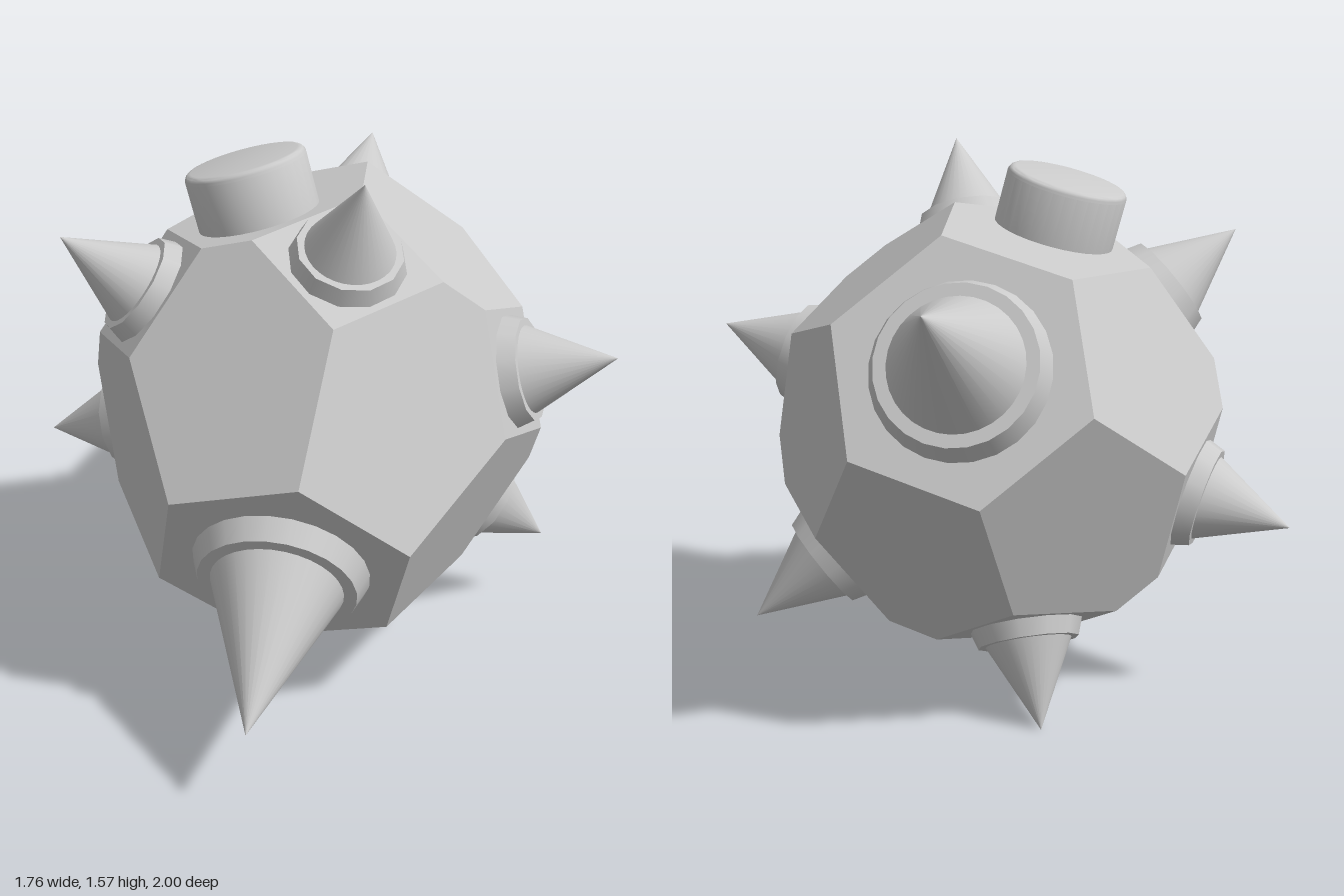
import * as THREE from 'three';
import { ConvexGeometry } from 'three/addons/geometries/ConvexGeometry.js';
import { toCreasedNormals } from 'three/addons/utils/BufferGeometryUtils.js';

const UP = new THREE.Vector3(0, 1, 0);
const R = 0.768, H = 1.23; // corner radius and apex height of the bipyramid
const SIXTH = Math.PI / 3;

const smooth = new THREE.MeshStandardMaterial({ color: 0xcccccc });
const faceted = new THREE.MeshStandardMaterial({ color: 0xcccccc, flatShading: true });

// direction around the body's long axis (local y)
const around = (a, r, y) => new THREE.Vector3(r * Math.cos(a), y, r * Math.sin(a));

function part(name, geometry, material, y = 0) {
  const mesh = new THREE.Mesh(geometry, material);
  mesh.name = name;
  mesh.position.y = y;
  return mesh;
}

// hexagonal bipyramid with all eight corners cut off
function bodyGeometry() {
  const points = [];
  const cut = 0.2; // share cut from the equator corners
  const half = cut * R * Math.sqrt(3);
  for (let i = 0; i < 6; i++) {
    const a = i * SIXTH;
    for (const s of [-1, 1]) {
      points.push(around(a, R / 2, s * H / 2));
      points.push(around(a, R * (1 - cut), s * H * cut));
      const p = around(a, R * (1 - cut), 0);
      points.push(p.addScaledVector(around(a + Math.PI / 2, 1, 0), s * half));
    }
  }
  return new ConvexGeometry(points);
}

// bevelled collar with a cone, pointing along dir
function spike(name, dir, base, collarHeight, rBottom, rTop, rCone, tip, sides) {
  const g = new THREE.Group();
  g.name = name;
  const top = base + collarHeight;
  const collar = new THREE.CylinderGeometry(rTop, rBottom, collarHeight + 0.01, sides);
  g.add(part('collar', collar, smooth, base + collarHeight / 2 - 0.005));
  const cone = new THREE.ConeGeometry(rCone, tip - top + 0.005, 32);
  g.add(part('cone', cone, smooth, (tip + top - 0.005) / 2));
  g.quaternion.setFromUnitVectors(UP, dir.clone().normalize());
  return g;
}

// stubby cap with a softened rim
function knob() {
  const r = 0.177, b = 0.02, h = 0.2;
  const profile = [new THREE.Vector2(0, -0.05), new THREE.Vector2(r, -0.05)];
  for (let i = 0; i <= 4; i++) {
    const t = i / 4 * Math.PI / 2;
    profile.push(new THREE.Vector2(r - b + b * Math.cos(t), h - 0.03 - b + b * Math.sin(t)));
  }
  profile.push(new THREE.Vector2(0, h - 0.03));
  const mesh = part('knob', toCreasedNormals(new THREE.LatheGeometry(profile, 32), 0.6), smooth);
  // sits on the face between two spikes, nearer the equator
  const n = around(-SIXTH / 2, 0.88, -0.475).normalize();
  const down = around(-SIXTH / 2, 0.475, 0.88).normalize();
  mesh.position.copy(n).multiplyScalar(0.583).addScaledVector(down, 0.06);
  mesh.quaternion.setFromUnitVectors(UP, n);
  return mesh;
}

export function createModel() {
  const model = new THREE.Group();
  model.name = 'spikedBall';

  const ball = new THREE.Group();
  ball.name = 'ball';
  ball.add(part('body', bodyGeometry(), faceted));

  // large spikes on the two end faces
  ball.add(spike('frontSpike', new THREE.Vector3(0, 1, 0), H / 2, 0.065, 0.255, 0.225, 0.19, 1.137, 24));
  ball.add(spike('backSpike', new THREE.Vector3(0, -1, 0), H / 2, 0.065, 0.255, 0.225, 0.19, 1.137, 24));

  // small spikes on the six square faces
  for (let i = 0; i < 6; i++) {
    ball.add(spike('sideSpike' + (i + 1), around(i * SIXTH, 1, 0), R * 0.8, 0.05, 0.168, 0.148, 0.128, 0.917, 12));
  }
  ball.add(knob());

  // tilt the long axis forward and down
  const y = new THREE.Vector3(0.03, -0.54, 1).normalize();
  const z = new THREE.Vector3(0.239, 0.858, 0.456).cross(y).normalize();
  const x = y.clone().cross(z);
  ball.quaternion.setFromRotationMatrix(new THREE.Matrix4().makeBasis(x, y, z));
  ball.position.y = 0.79;
  model.add(ball);
  return model;
}
